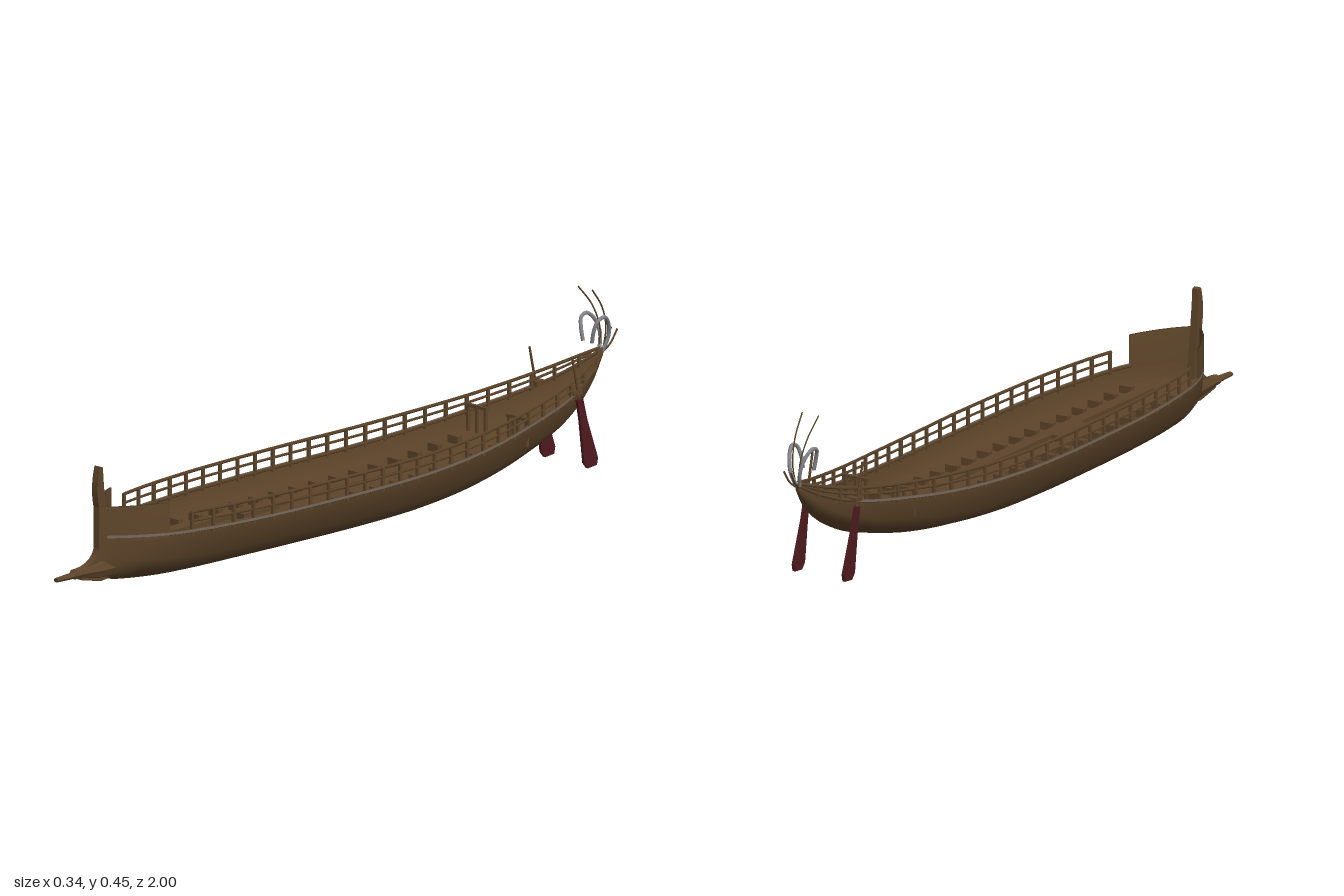
import * as THREE from 'three';

const mat = (name, color, side = THREE.FrontSide) => {
  const m = new THREE.MeshStandardMaterial({ color, side });
  m.name = name;
  return m;
};
const wood = mat('brown wood', 0x5e452a);
const shellWood = mat('brown planking', 0x5e452a, THREE.DoubleSide);
const red = mat('dark red paint', 0x4e1a1e);
const grey = mat('grey metal', 0x85868a);
const pale = mat('pale trim', 0x75695c, THREE.DoubleSide);

// Hull stations: z -> half width, keel height, sheer height, rail height
const stations = [
  [-0.955, 0.004, 0.265, 0.283, 0.288], [-0.9, 0.03, 0.2, 0.25, 0.272],
  [-0.8, 0.065, 0.13, 0.212, 0.247], [-0.6, 0.108, 0.062, 0.175, 0.217],
  [-0.4, 0.14, 0.024, 0.151, 0.2], [-0.2, 0.159, 0.007, 0.139, 0.191],
  [0, 0.166, 0.003, 0.136, 0.19], [0.2, 0.164, 0.003, 0.136, 0.19],
  [0.4, 0.155, 0.004, 0.136, 0.19], [0.6, 0.13, 0.006, 0.137, 0.19],
  [0.7, 0.105, 0.01, 0.138, 0.19], [0.8, 0.052, 0.02, 0.14, 0.19], [0.85, 0.01, 0.035, 0.14, 0.19],
];
const spline = new THREE.CubicInterpolant(
  stations.map((s) => s[0]), stations.flatMap((s) => s.slice(1)), 4);
const at = (z) => {
  const [w, keel, sheer, rail] = spline.evaluate(z);
  return { w, keel, sheer, rail };
};
const section = [[0, 0], [0.3, 0.045], [0.65, 0.2], [0.935, 0.49], [1, 1]];
const range = (a, b, n) => Array.from({ length: n + 1 }, (_, i) => a + ((b - a) * i) / n);

// Half width of the hull at height y
function widthAt(z, y) {
  const { w, keel, sheer } = at(z);
  const f = Math.min(1, Math.max(0, (y - keel) / (sheer - keel)));
  for (let i = 1; i < section.length; i++) {
    const [x0, y0] = section[i - 1], [x1, y1] = section[i];
    if (f <= y1) return w * (x0 + ((x1 - x0) * (f - y0)) / (y1 - y0));
  }
  return w;
}
const deckY = (z) => {
  const { keel, sheer } = at(z);
  return Math.max(sheer - 0.05, keel + (sheer - keel) * 0.35);
};

// Surface through rows of equally many points
function loft(rows) {
  const n = rows[0].length, index = [];
  for (let i = 0; i < rows.length - 1; i++)
    for (let j = 0; j < n - 1; j++) {
      const a = i * n + j, b = a + n;
      index.push(a, a + 1, b, b, a + 1, b + 1);
    }
  const g = new THREE.BufferGeometry();
  g.setAttribute('position', new THREE.Float32BufferAttribute(rows.flat(2), 3));
  g.setIndex(index);
  g.computeVertexNormals();
  return g;
}

export function createModel() {
  const ship = new THREE.Group();
  ship.name = 'galley';
  const add = (name, geo, material, parent = ship) => {
    const m = new THREE.Mesh(geo, material);
    m.name = name;
    parent.add(m);
    return m;
  };
  const box = (name, w, h, d, x, y, z, parent) =>
    add(name, new THREE.BoxGeometry(w, h, d), wood, parent).position.set(x, y, z);
  const tube = (name, pts, r, material, sides = 6, segs = 20) =>
    add(name, new THREE.TubeGeometry(
      new THREE.CatmullRomCurve3(pts.map((p) => new THREE.Vector3(...p))), segs, r, sides), material);

  // Hull shell
  const hullZ = range(-0.955, 0.85, 60);
  const profile = [...section.map(([x, y]) => [-x, y]).reverse(), ...section.slice(1)];
  add('hull', loft(hullZ.map((z) => {
    const { w, keel, sheer } = at(z);
    return profile.map(([x, y]) => [x * w, keel + y * (sheer - keel), z]);
  })), shellWood);

  // Deck, rising toward the stern
  add('deck', loft(hullZ.map((z) => {
    const y = deckY(z), w = widthAt(z, y);
    return [[-w, y, z], [w, y, z]];
  })), shellWood);

  // Bow bulwark, outer and inner faces with a top edge
  for (const s of [-1, 1]) {
    add('bowBulwark', loft(range(0.7, 0.85, 12).map((z) => {
      const w = at(z).w + 0.002, i = Math.max(0, w - 0.007);
      return [[s * w, 0.13, z], [s * w, 0.22, z], [s * i, 0.22, z], [s * i, 0.13, z]];
    })), shellWood);
  }

  // Stem post with a curved tip
  const stem = new THREE.Shape();
  stem.moveTo(0.81, 0.03);
  stem.lineTo(0.83, 0.2);
  stem.quadraticCurveTo(0.84, 0.28, 0.842, 0.322);
  stem.lineTo(0.852, 0.325);
  stem.quadraticCurveTo(0.868, 0.27, 0.856, 0.22);
  stem.lineTo(0.856, 0.11);
  stem.quadraticCurveTo(0.865, 0.075, 0.92, 0.068);
  stem.lineTo(0.92, 0.042);
  stem.lineTo(0.85, 0.026);
  const stemGeo = new THREE.ExtrudeGeometry(stem, { depth: 0.02, bevelEnabled: false, curveSegments: 8 });
  stemGeo.translate(0, 0, -0.01).rotateY(-Math.PI / 2);
  add('stemPost', stemGeo, shellWood);

  // Ram: eight-sided sections [z, half width, half height, centre height]
  const ramSections = [[0.8, 0.034, 0.03, 0.06], [0.86, 0.021, 0.024, 0.056], [0.915, 0.017, 0.015, 0.058],
    [0.935, 0.017, 0.013, 0.058], [0.94, 0.011, 0.009, 0.056], [1, 0.008, 0.006, 0.055], [1, 0, 0, 0.055]];
  const ram = loft(ramSections.map(([z, w, h, y]) => range(0, Math.PI * 2, 8).map((a) =>
    [Math.cos(a) * w, y + Math.sin(a) * h, z]))).toNonIndexed();
  ram.computeVertexNormals();
  add('ram', ram, shellWood);

  for (const s of [-1, 1]) {
    // Gunwale, rails and posts along each side
    const along = (z, f) => {
      const { w, sheer, rail } = at(z);
      return [s * Math.max(0.003, w - 0.002), sheer + (rail - sheer) * f, z];
    };
    tube('gunwale', range(-0.95, 0.7, 40).map((z) => along(z, 0)), 0.005, wood, 4, 60);
    tube('topRail', range(-0.95, 0.64, 40).map((z) => along(z, 0.95)), 0.0045, wood, 4, 60);
    tube('middleRail', range(-0.93, 0.64, 40).map((z) => along(z, 0.5)), 0.0035, wood, 4, 60);
    for (const z of range(-0.9, 0.635, 24)) {
      const [x, y0] = along(z, 0), y1 = along(z, 0.98)[1];
      box('railPost', 0.007, y1 - y0 + 0.01, 0.008, x, (y0 + y1) / 2 - 0.005, z);
    }

    // Thin trim strip below the gunwale
    add('trimStrip', loft(range(-0.8, 0.84, 50).map((z) => {
      const { w, sheer } = at(z), x = s * (w + 0.003);
      return [[x, sheer - 0.002, z], [x, sheer + 0.005, z]];
    })), pale);

    // Rowing platform and benches
    box('rowingPlatform', 0.034, 0.012, 1.27, s * 0.039, 0.091, 0.055);
    for (const z of range(-0.5, 0.64, 16))
      box('bench', 0.036, 0.02, 0.016, s * 0.073, Math.max(deckY(z), 0.086) + 0.01, z);

    // Aft cross rail
    box('aftBar', 0.075, 0.008, 0.01, s * 0.073, 0.19, -0.58);
    for (const x of [0.042, 0.073, 0.104]) box('aftBarPost', 0.007, 0.07, 0.008, s * x, 0.155, -0.58);

    // Steering oar: shaft and flat blade
    const oar = new THREE.Group();
    oar.name = 'steeringOar';
    ship.add(oar);
    oar.position.set(s * 0.076, 0.305, -0.772);
    oar.rotation.x = 0.22;
    add('oarShaft', new THREE.CylinderGeometry(0.003, 0.004, 0.15, 6), wood, oar).position.y = -0.07;
    const blade = new THREE.Shape([[-0.01, -0.11], [-0.012, -0.17], [-0.018, -0.22], [-0.026, -0.285],
      [-0.018, -0.302], [0.014, -0.298], [0.023, -0.28], [0.017, -0.22], [0.012, -0.17], [0.01, -0.11]]
      .map((p) => new THREE.Vector2(...p)));
    const bladeGeo = new THREE.ExtrudeGeometry(blade, { depth: 0.008, bevelEnabled: false });
    bladeGeo.translate(0, 0, -0.004).rotateY(-Math.PI / 2);
    add('oarBlade', bladeGeo, red, oar);
    box('oarMount', 0.024, 0.012, 0.03, s * 0.067, 0.215, -0.79);

    // Stern ornaments: curled neck, tall rod and swept-back horn
    tube('sternNeck', [[s * 0.006, 0.28, -0.95], [s * 0.015, 0.32, -0.962], [s * 0.024, 0.358, -0.952],
      [s * 0.031, 0.377, -0.93], [s * 0.03, 0.37, -0.91], [s * 0.023, 0.345, -0.902], [s * 0.016, 0.312, -0.902]],
    0.005, grey, 8, 28);
    tube('sternRod', [[s * 0.006, 0.28, -0.95], [s * 0.011, 0.34, -0.957], [s * 0.018, 0.4, -0.936],
      [s * 0.025, 0.455, -0.893]], 0.002, wood);
    tube('sternHorn', [[s * 0.004, 0.275, -0.95], [s * 0.008, 0.295, -0.975], [s * 0.011, 0.33, -0.998]],
      0.0025, wood);
  }

  // Mast step on the central gangway
  box('mastStep', 0.024, 0.018, 0.13, 0, 0.094, 0.275);
  return ship;
}
